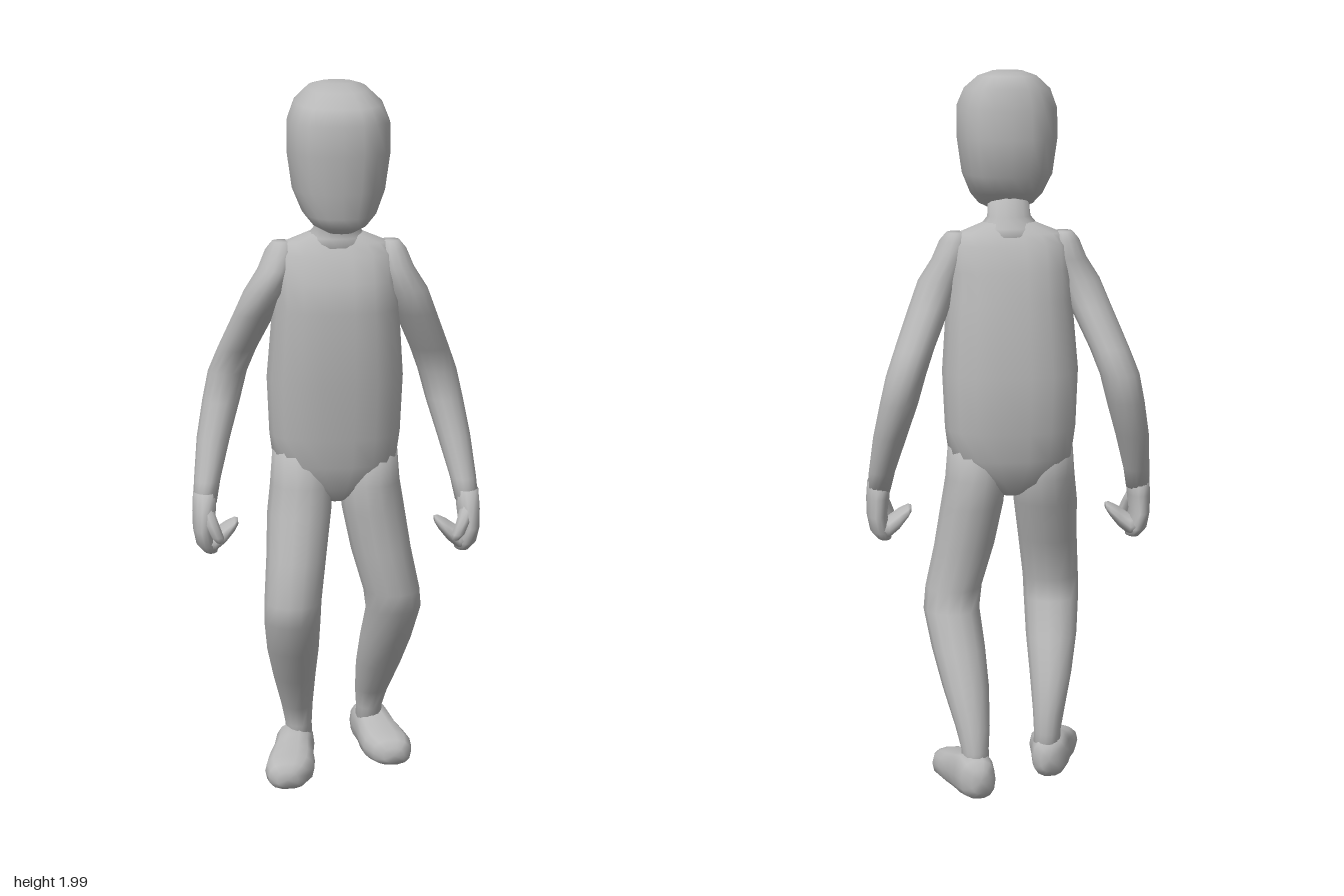
import * as THREE from 'three';

const X = new THREE.Vector3(1, 0, 0), Y = new THREE.Vector3(0, 1, 0), Z = new THREE.Vector3(0, 0, 1);

// Smooth skin through rings [x, y, z, radiusU, radiusV, slope]; u and v span each ring, n squares it off
function loft(rings, { u = X, v = Z, n = 2, sides = 14 } = {}) {
  const pos = [], idx = [];
  const soft = (s) => Math.sign(s) * Math.abs(s) ** (2 / n);
  for (const [x, y, z, ru, rv, slope = 0] of rings) {
    for (let j = 0; j < sides; j++) {
      const t = (j / sides) * Math.PI * 2;
      const a = ru * soft(Math.cos(t)), b = rv * soft(Math.sin(t));
      const p = new THREE.Vector3(x, y, z).addScaledVector(u, a).addScaledVector(v, b);
      pos.push(p.x, p.y + slope * b, p.z);
    }
  }
  const first = rings[0], last = rings[rings.length - 1];
  pos.push(...first.slice(0, 3), ...last.slice(0, 3));
  const along = new THREE.Vector3(last[0] - first[0], last[1] - first[1], last[2] - first[2]);
  const flip = u.clone().cross(v).dot(along) < 0;
  const tri = (a, b, c) => (flip ? idx.push(a, c, b) : idx.push(a, b, c));
  const count = rings.length * sides, top = count - sides;
  for (let j = 0; j < sides; j++) {
    const k = (j + 1) % sides;
    for (let i = 0; i < rings.length - 1; i++) {
      const a = i * sides + j, b = i * sides + k;
      tri(a, b, b + sides);
      tri(a, b + sides, a + sides);
    }
    tri(count, k, j);
    tri(count + 1, top + j, top + k);
  }
  const g = new THREE.BufferGeometry();
  g.setAttribute('position', new THREE.Float32BufferAttribute(pos, 3));
  g.setIndex(idx);
  g.computeVertexNormals();
  return g;
}

export function createModel() {
  const model = new THREE.Group();
  model.name = 'figure';
  const skin = new THREE.MeshStandardMaterial({ color: 0xb8b8b8 });
  skin.name = 'plain grey';
  const add = (name, rings, options) => {
    const mesh = new THREE.Mesh(loft(rings, options), skin);
    mesh.name = name;
    model.add(mesh);
  };

  // Head, leaning forward of the neck
  add('head', [
    [0, 1.612, 0.14, 0.04, 0.06, -0.06],
    [0, 1.63, 0.125, 0.075, 0.1, -0.06],
    [0, 1.66, 0.113, 0.1, 0.127, -0.06],
    [0, 1.72, 0.095, 0.125, 0.155],
    [0, 1.82, 0.095, 0.139, 0.17],
    [0, 1.9, 0.097, 0.138, 0.165],
    [0, 1.95, 0.092, 0.118, 0.152, -0.05],
    [0, 1.985, 0.078, 0.08, 0.115, -0.05],
    [0, 1.998, 0.06, 0.045, 0.06],
  ], { n: 2.5, sides: 20 });

  // Neck flaring into the shoulders
  add('neck', [
    [0, 1.52, 0.02, 0.12, 0.08],
    [0, 1.575, 0.025, 0.085, 0.06],
    [0, 1.605, 0.035, 0.06, 0.05],
    [0, 1.67, 0.06, 0.055, 0.055],
  ]);

  // Torso from the crotch up to the shoulder line
  add('torso', [
    [0, 0.83, 0, 0.03, 0.05],
    [0, 0.87, -0.005, 0.1, 0.09],
    [0, 0.94, -0.005, 0.172, 0.115],
    [0, 1.02, -0.005, 0.183, 0.125],
    [0, 1.18, 0, 0.19, 0.147],
    [0, 1.38, 0.025, 0.175, 0.133],
    [0, 1.46, 0.025, 0.172, 0.115],
    [0, 1.53, 0.022, 0.17, 0.088],
    [0, 1.56, 0.022, 0.145, 0.06],
    [0, 1.59, 0.025, 0.07, 0.045],
  ], { n: 2.4, sides: 18 });

  // Arms and hands; d shifts the lower arm back on the right side
  for (const [side, s, d] of [['left', 1, 0], ['right', -1, -0.03]]) {
    add(side + 'Arm', [
      [s * 0.15, 1.563, 0.022, 0.025, 0.03],
      [s * 0.152, 1.54, 0.024, 0.042, 0.055],
      [s * 0.165, 1.49, 0.03, 0.05, 0.068],
      [s * 0.193, 1.43, 0.032, 0.06, 0.072],
      [s * 0.222, 1.36, 0.012 + d / 2, 0.058, 0.07],
      [s * 0.268, 1.25, -0.035 + d, 0.055, 0.065],
      [s * 0.294, 1.18, -0.062 + d, 0.055, 0.06],
      [s * 0.313, 1.1, -0.05 + d, 0.053, 0.06],
      [s * 0.337, 1.0, -0.02 + d, 0.047, 0.056],
      [s * 0.358, 0.89, 0.03 + d, 0.037, 0.05],
      [s * 0.366, 0.83, 0.055 + d, 0.033, 0.042],
    ]);
    add(side + 'Palm', [
      [s * 0.366, 0.86, 0.05 + d, 0.033, 0.042],
      [s * 0.369, 0.81, 0.062 + d, 0.033, 0.055],
      [s * 0.372, 0.76, 0.064 + d, 0.029, 0.066],
      [s * 0.362, 0.715, 0.06 + d, 0.03, 0.06],
      [s * 0.352, 0.692, 0.058 + d, 0.02, 0.04],
    ]);
    // Fingers curling inward and up
    add(side + 'Fingers', [
      [s * 0.372, 0.722, 0.058 + d, 0.055, 0.028],
      [s * 0.34, 0.722, 0.06 + d, 0.055, 0.03],
      [s * 0.31, 0.745, 0.06 + d, 0.05, 0.028],
      [s * 0.285, 0.767, 0.06 + d, 0.042, 0.018],
      [s * 0.275, 0.775, 0.06 + d, 0.022, 0.009],
    ], { u: Z, v: Y, sides: 10 });
    add(side + 'Thumb', [
      [s * 0.365, 0.82, 0.085 + d, 0.02, 0.025],
      [s * 0.35, 0.78, 0.108 + d, 0.02, 0.022],
      [s * 0.335, 0.745, 0.115 + d, 0.018, 0.02],
      [s * 0.328, 0.728, 0.112 + d, 0.01, 0.012],
    ], { sides: 8 });
  }

  // Left leg trails, right leg leads
  add('leftLeg', [
    [0.1, 0.98, -0.005, 0.075, 0.09],
    [0.097, 0.88, -0.005, 0.086, 0.105],
    [0.108, 0.8, -0.002, 0.088, 0.1],
    [0.13, 0.68, 0.005, 0.085, 0.088],
    [0.16, 0.56, 0.01, 0.08, 0.086],
    [0.168, 0.5, -0.01, 0.079, 0.084],
    [0.153, 0.4, -0.06, 0.075, 0.084],
    [0.137, 0.3, -0.115, 0.065, 0.078],
    [0.123, 0.2, -0.17, 0.048, 0.06],
    [0.118, 0.14, -0.19, 0.038, 0.05],
    [0.118, 0.07, -0.195, 0.04, 0.05],
  ]);
  add('rightLeg', [
    [-0.1, 0.98, 0, 0.075, 0.09],
    [-0.095, 0.88, 0.01, 0.088, 0.1],
    [-0.103, 0.8, 0.03, 0.09, 0.098],
    [-0.115, 0.68, 0.075, 0.084, 0.09],
    [-0.127, 0.56, 0.105, 0.08, 0.083],
    [-0.128, 0.5, 0.095, 0.079, 0.083],
    [-0.123, 0.4, 0.045, 0.073, 0.082],
    [-0.115, 0.3, -0.01, 0.06, 0.074],
    [-0.105, 0.2, -0.05, 0.045, 0.055],
    [-0.1, 0.14, -0.06, 0.038, 0.045],
    [-0.1, 0.07, -0.06, 0.04, 0.045],
  ]);

  // Feet run heel to toe, turned outward: x at heel, x at toe, z of heel
  for (const [side, heel, toe, z0] of [['left', 0.11, 0.168, -0.268], ['right', -0.1, -0.145, -0.112]]) {
    const profile = [
      [0, 0.07, 0.025, 0.035], [0.02, 0.07, 0.048, 0.056], [0.06, 0.074, 0.056, 0.066],
      [0.11, 0.066, 0.058, 0.058], [0.16, 0.059, 0.067, 0.051], [0.21, 0.054, 0.07, 0.046],
      [0.25, 0.05, 0.055, 0.038], [0.266, 0.046, 0.03, 0.022],
    ];
    add(side + 'Foot', profile.map(([d, y, ru, rv]) =>
      [THREE.MathUtils.lerp(heel, toe, d / 0.25), y, z0 + d, ru, rv]), { u: X, v: Y, n: 2.5 });
  }

  // Stand on the ground, centred
  const box = new THREE.Box3().setFromObject(model);
  model.position.y = -box.min.y;
  return model;
}
